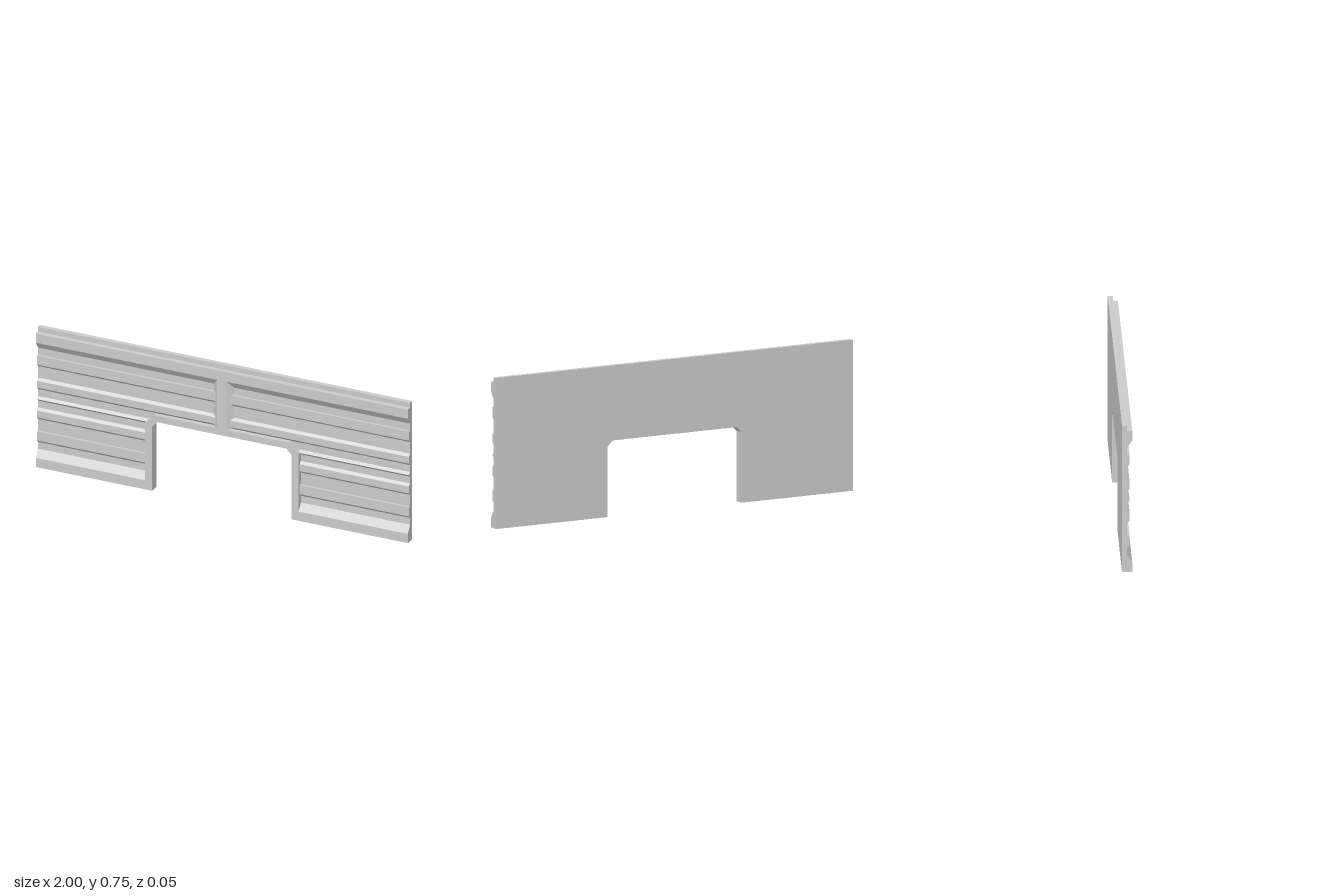
import * as THREE from 'three';

const material = new THREE.MeshStandardMaterial({ color: 0xcccccc, flatShading: true });

const extrude = (points, depth) => new THREE.ExtrudeGeometry(
  new THREE.Shape(points.map(([a, b]) => new THREE.Vector2(a, b))),
  { depth, bevelEnabled: false });

export function createModel() {
  const group = new THREE.Group();
  const add = (name, geometry) => {
    const mesh = new THREE.Mesh(geometry, material);
    mesh.name = name;
    group.add(mesh);
  };

  // Horizontal moulding: a (z, y) profile swept from x0 to x1
  const moulding = (name, profile, x0, x1) => {
    const geometry = extrude(profile.map(([z, y]) => [-z, y]), x1 - x0);
    add(name, geometry.rotateY(Math.PI / 2).translate(x0, 0, 0));
  };
  const mirrored = (name, profile, x0) => {
    moulding(name + 'Left', profile, x0, 1);
    moulding(name + 'Right', profile, -1, -x0);
  };

  const front = 0.025, ribFront = 0.0125;

  // Doorway outline with cut corners, from right foot to left foot
  const opening = [[-0.375, 0], [-0.375, 0.35], [-0.347, 0.378],
    [0.347, 0.378], [0.375, 0.35], [0.375, 0]];
  const frameOuter = [[0.413, 0], [0.413, 0.363], [0.363, 0.413],
    [-0.363, 0.413], [-0.363, 0.413], [-0.413, 0.363], [-0.413, 0]]
    .filter((p, i) => i !== 4);

  // Wall slab and raised door frame
  add('backPanel', extrude(
    [...opening, [1, 0], [1, 0.75], [-1, 0.75], [-1, 0]], 0.025).translate(0, 0, -0.025));
  add('doorFrame', extrude([...opening, ...frameOuter], front));

  // Base skirting and top cornice
  mirrored('skirting', [[0, 0], [front, 0], [front, 0.05], [0, 0.089]], 0.413);
  moulding('cornice', [[0, 0.638], [front, 0.675], [front, 0.725], [0, 0.725]], -1, 1);

  // Ribs: bottom, top of the sloped underside, end of the face, top
  const rib = ([y0, y1, y2, y3]) => [[0, y0], [ribFront, y1], [ribFront, y2], [0, y3]];
  [[0.126, 0.139, 0.188, 0.188], [0.251, 0.264, 0.301, 0.314]]
    .forEach((r, i) => mirrored('lowerRib' + (i + 1), rib(r), 0.4));
  mirrored('narrowRib', [[0, 0.35], [ribFront, 0.363], [0, 0.375]], 0.4);
  [[0.413, 0.426, 0.462, 0.475], [0.538, 0.551, 0.6, 0.6]]
    .forEach((r, i) => moulding('upperRib' + (i + 1), rib(r), -1, 1));

  // Tapered post above the doorway
  add('centrePost', extrude(
    [[-0.055, 0], [-0.025, -front], [0.025, -front], [0.055, 0]], 0.262)
    .rotateX(-Math.PI / 2).translate(0, 0.413, 0));

  return group;
}
